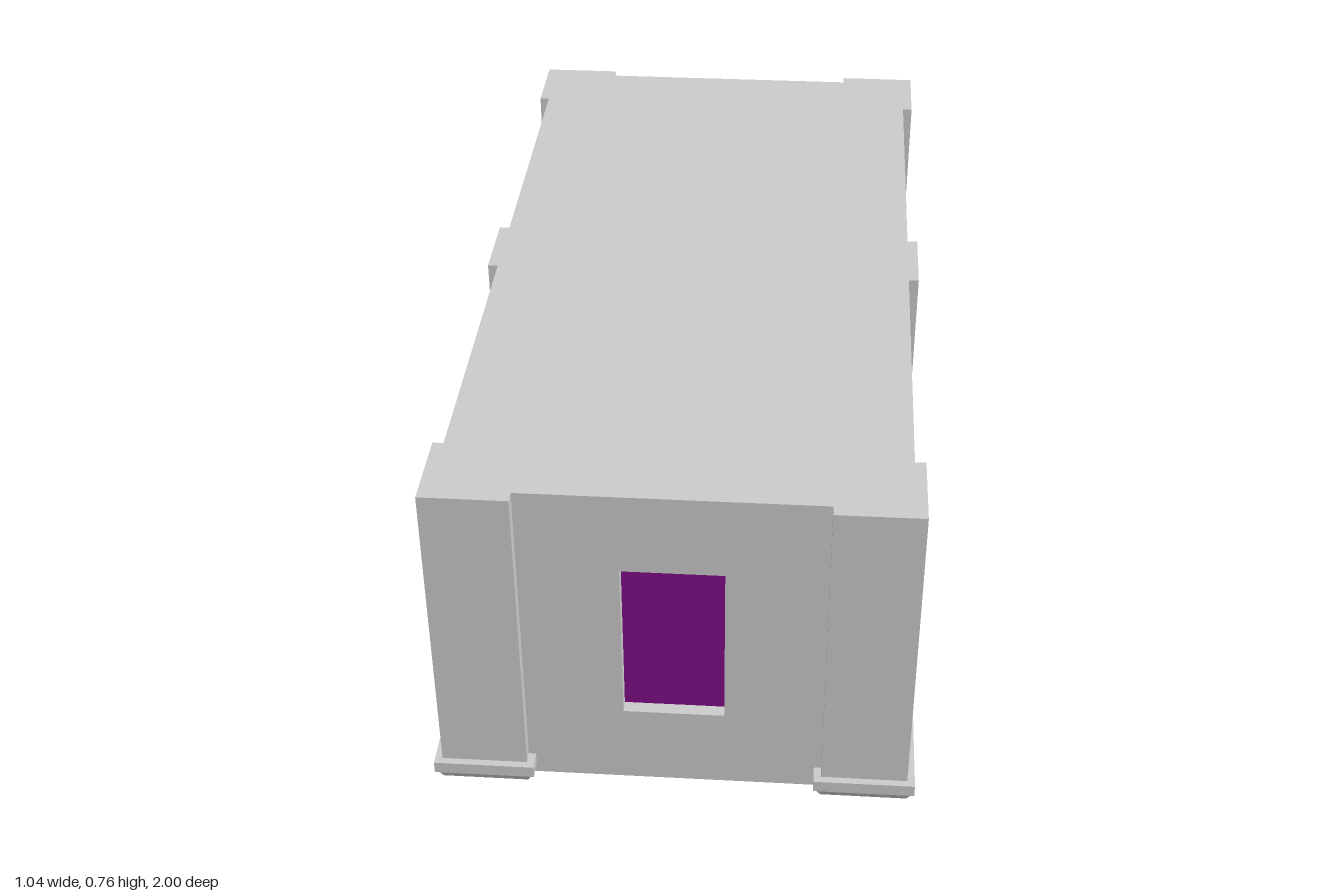
import * as THREE from 'three';

const H = 0.765, WX = 0.48, WZ = 0.957, DEPTH = 0.03; // wall height, half extents, recess depth
const SILL = 0.192, HEAD = 0.577;
const grey = new THREE.MeshStandardMaterial({ color: 0xcccccc, flatShading: true });
const purple = new THREE.MeshStandardMaterial({ color: 0x800f88, flatShading: true });

// Box spanning x, y, z ranges; its underside can be drawn in by an inset
function block(name, [x0, x1], [y0, y1], [z0, z1], inset = 0) {
  const w = x1 - x0, d = z1 - z0;
  const geo = new THREE.BoxGeometry(w, y1 - y0, d);
  const p = geo.attributes.position;
  for (let i = 0; i < p.count; i++) {
    if (p.getY(i) < 0) {
      p.setX(i, p.getX(i) * (1 - 2 * inset / w));
      p.setZ(i, p.getZ(i) * (1 - 2 * inset / d));
    }
  }
  geo.computeVertexNormals();
  const mesh = new THREE.Mesh(geo, grey);
  mesh.name = name;
  mesh.position.set((x0 + x1) / 2, (y0 + y1) / 2, (z0 + z1) / 2);
  return mesh;
}

// Wall facing +z at the given distance, with window openings and recessed panes
function wall(name, half, distance, centres) {
  const group = new THREE.Group();
  group.name = name;
  const shape = new THREE.Shape([[-half, 0], [half, 0], [half, H], [-half, H]].map(p => new THREE.Vector2(...p)));
  const w = 0.1075;
  for (const c of centres) {
    shape.holes.push(new THREE.Path([[c - w, SILL], [c - w, HEAD], [c + w, HEAD], [c + w, SILL]].map(p => new THREE.Vector2(...p))));
    const pane = new THREE.Mesh(new THREE.PlaneGeometry(2 * w, HEAD - SILL), purple);
    pane.name = 'windowPane';
    pane.position.set(c, (SILL + HEAD) / 2, distance - DEPTH + 0.002);
    group.add(pane);
  }
  const panel = new THREE.Mesh(new THREE.ExtrudeGeometry(shape, { depth: DEPTH, bevelEnabled: false }), grey);
  panel.name = 'wallPanel';
  panel.position.z = distance - DEPTH;
  group.add(panel);
  return group;
}

// Pillar with a moulded foot: a flat band over a tapered base
function pillar(name, x, z) {
  const group = new THREE.Group();
  group.name = name;
  const grow = ([a, b], g) => [a - g, b + g];
  group.add(
    block('shaft', x, [0, H], z),
    block('footBand', grow(x, 0.016), [0.025, 0.053], grow(z, 0.016)),
    block('footTaper', grow(x, 0.012), [0, 0.025], grow(z, 0.012), 0.012)
  );
  return group;
}

const span = (a, b, s) => (s > 0 ? [a, b] : [-b, -a]);

export function createModel() {
  const model = new THREE.Group();
  model.name = 'building';
  model.add(block('core', [-WX + DEPTH, WX - DEPTH], [0, H], [-WZ + DEPTH, WZ - DEPTH]));

  // Four walls: one window at each end, two on each long side
  for (const [name, turn, long] of [['frontWall', 0, false], ['leftWall', 1, true], ['backWall', 2, false], ['rightWall', 3, true]]) {
    const w = long ? wall(name, WZ - DEPTH, WX, [-0.447, 0.447]) : wall(name, WX, WZ, [0]);
    w.rotation.y = turn * Math.PI / 2;
    model.add(w);
  }

  // Corner and middle pillars
  for (const sx of [1, -1]) {
    for (const sz of [1, -1]) {
      model.add(pillar('cornerPillar', span(0.318, 0.503, sx), span(0.8, 0.984, sz)));
    }
    model.add(pillar('middlePillar', span(0.42, 0.503, sx), [-0.09, 0.09]));
  }
  return model;
}
